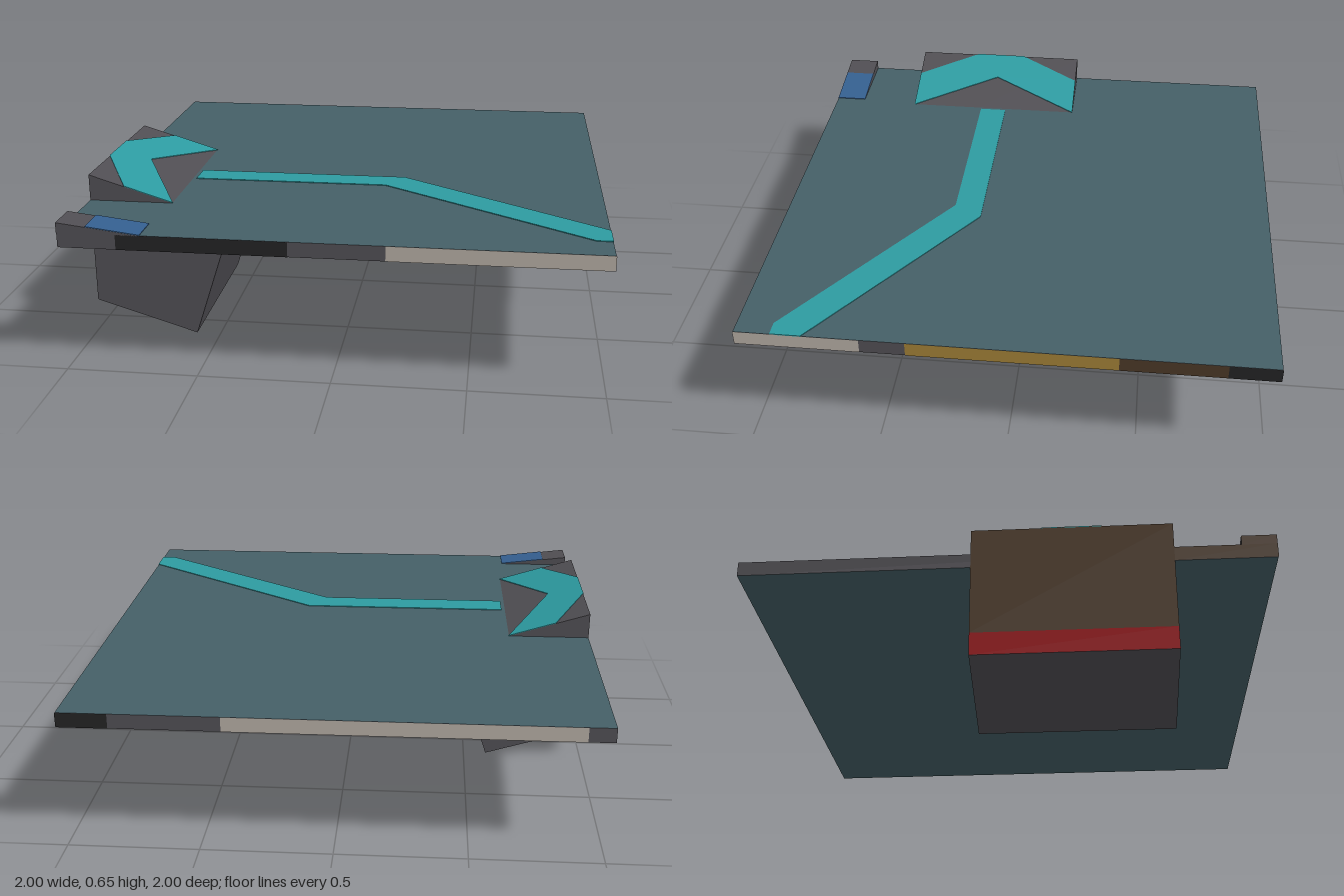
import * as THREE from 'three';

const mat = (name, color) => Object.assign(new THREE.MeshStandardMaterial({ color }), { name });

export function createModel() {
  const model = new THREE.Group();
  const deck = mat('slate teal', 0x456067);
  const cyan = mat('cyan', 0x2d9ba1);
  const grey = mat('dark grey', 0x504e53);
  const black = mat('black', 0x232324);
  const beige = mat('beige', 0xb3aba2);
  const gold = mat('gold', 0x9f7f36);
  const brown = mat('brown', 0x4a3726);
  const red = mat('red', 0x930a10);
  const blue = mat('blue', 0x345f8f);

  const add = (name, geometry, material) => {
    const mesh = new THREE.Mesh(geometry, material);
    mesh.name = name;
    model.add(mesh);
    return mesh;
  };
  const shape = (pts) => new THREE.Shape(pts.map(([x, y]) => new THREE.Vector2(x, y)));

  // Side profile in x, y carried from z0 to z1
  const prism = (name, pts, z0, z1, material) => {
    const g = new THREE.ExtrudeGeometry(shape(pts), { depth: z1 - z0, bevelEnabled: false });
    add(name, g.translate(0, 0, z0), material);
  };

  // Thin plate drawn in x, z whose top follows the height rule
  const plate = (name, pts, height, material) => {
    const g = new THREE.ExtrudeGeometry(shape(pts), { depth: 0.004, bevelEnabled: false });
    g.rotateX(Math.PI / 2);
    const p = g.attributes.position;
    for (let i = 0; i < p.count; i++) p.setY(i, p.getY(i) + height(p.getX(i)) + 0.003);
    g.computeVertexNormals();
    add(name, g, material);
  };

  // Upright coloured panel on one of the four sides, from a to b along it
  const panel = (name, side, a, b, y0, y1, material) => {
    const mesh = add(name, new THREE.PlaneGeometry(Math.abs(b - a), y1 - y0), material);
    const mid = (a + b) / 2, y = (y0 + y1) / 2;
    const [x, z, turn] = {
      front: [mid, 1, 0], back: [mid, -1, Math.PI],
      left: [1, mid, Math.PI / 2], right: [-1, mid, -Math.PI / 2],
    }[side];
    mesh.position.set(x, y, z);
    mesh.rotation.y = turn;
  };

  // Deck slab
  const bottom = 0.495, top = 0.552;
  const slab = add('deckSlab', new THREE.BoxGeometry(1.997, top - bottom, 1.997),
    [grey, grey, deck, deck, grey, grey]);
  slab.position.y = (top + bottom) / 2;

  // Coloured stretches of the slab edge
  [
    ['front', -0.78, -0.15, black], ['front', 0.2, 1, beige],
    ['left', 0.53, 1, beige], ['left', -0.42, 0.36, gold],
    ['left', -0.81, -0.42, brown], ['left', -1, -0.81, black],
    ['back', 0.81, 1, black], ['back', -0.9, 0.4, beige],
  ].forEach(([side, a, b, m]) => panel('edgePanel', side, a, b, bottom, top, m));

  // Tilted block through the deck
  const blockTop = (x) => 0.655 - 0.3125 * (x + 1);
  prism('tiltedBlock', [[-0.999, 0.13], [-0.595, 0.005], [-0.44, 0.48], [-0.999, 0.655]],
    -0.125, 0.625, grey);
  panel('blockEndPanel', 'right', -0.125, 0.625, 0.22, 0.655, brown);
  panel('blockEndStripe', 'right', -0.125, 0.625, 0.13, 0.22, red);
  plate('chevron', [[-0.86, -0.125], [-0.668, -0.125], [-0.86, 0.25], [-0.668, 0.625],
    [-0.86, 0.625], [-1, 0.36], [-1, 0.14]], blockTop, cyan);

  // Bent stripe across the deck
  plate('deckStripe', [[-0.655, 0.19], [0.2, 0.19], [1, 0.745], [1, 0.86], [0.94, 0.86],
    [0.13, 0.305], [-0.655, 0.305]], () => top, cyan);

  // Corner wedge with blue ramp
  const wedgeTop = (x) => 0.59 - 0.123 * (x + 1);
  prism('cornerWedge', [[-0.999, 0.55], [-0.69, 0.55], [-0.69, 0.552], [-0.999, 0.59]],
    0.87, 1, grey);
  plate('wedgeRamp', [[-0.89, 0.87], [-0.69, 0.87], [-0.69, 0.999], [-0.89, 0.999]],
    wedgeTop, blue);
  panel('wedgeEndPanel', 'right', 0.87, 1, top, 0.59, brown);
  panel('edgePanel', 'right', 0.625, 1, bottom, top, brown);

  return model;
}
